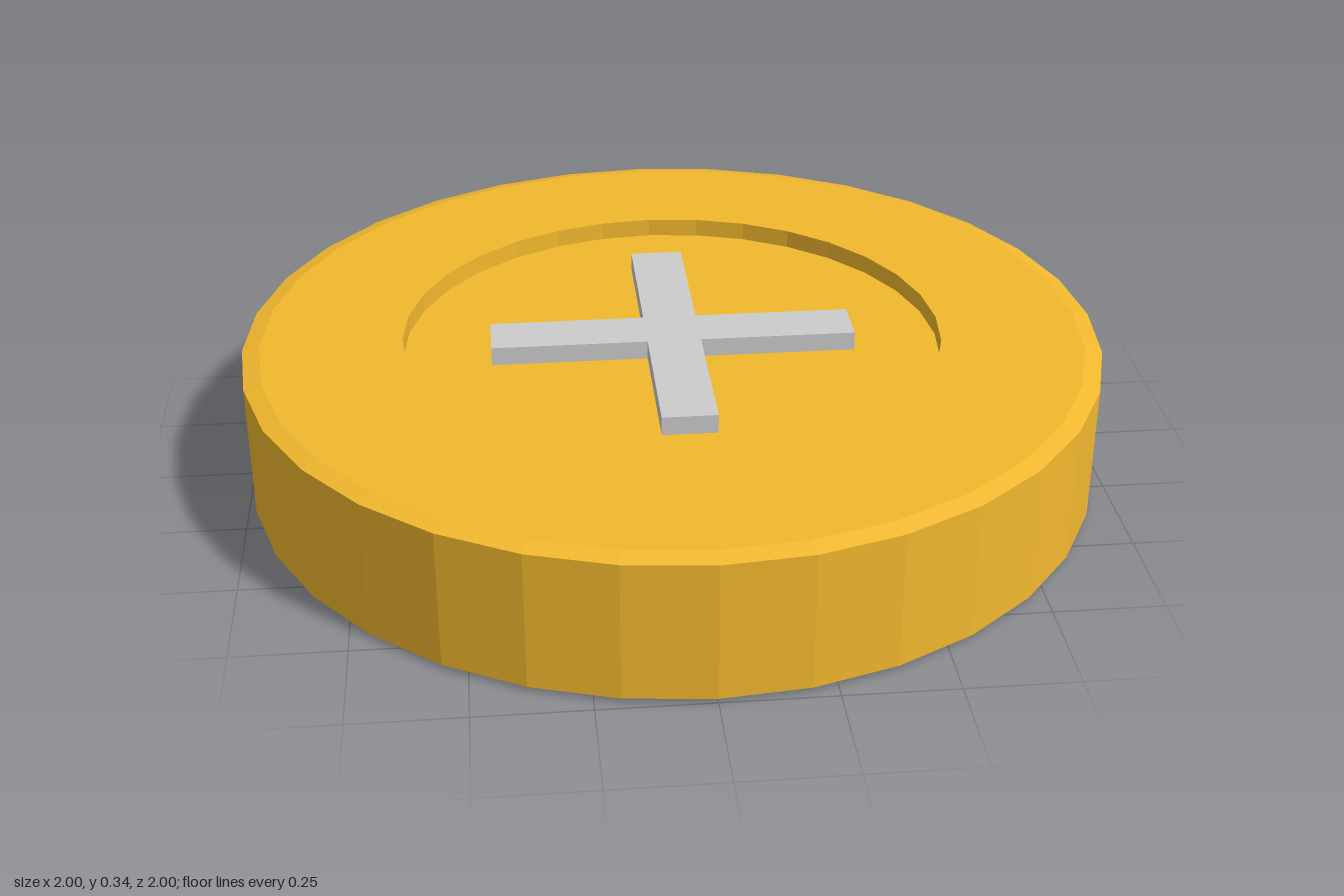
import * as THREE from 'three';

const HEIGHT = 0.34, RECESS = 0.044, BEVEL = 0.01;

export function createModel() {
  const group = new THREE.Group();
  const gold = new THREE.MeshStandardMaterial({ color: 0xf2b82e, flatShading: true });
  const grey = new THREE.MeshStandardMaterial({ color: 0xcccccc, flatShading: true });

  // Disc: bevelled rim with a round recess in both faces
  const lower = [[0, RECESS], [0.63, RECESS], [0.63, 0], [0.96, 0], [1, BEVEL]];
  const upper = lower.map(([r, y]) => [r, HEIGHT - y]).reverse();
  const profile = [...lower, ...upper].map(([r, y]) => new THREE.Vector2(r, y));
  const disc = new THREE.Mesh(new THREE.LatheGeometry(profile, 32), gold);
  disc.name = 'coinDisc';
  group.add(disc);

  // Cross: runs through the disc, flush with the rim on both faces
  const L = 0.425, W = 0.0625;
  const quarter = [[L, -W], [L, W], [W, W]];
  const outline = [];
  for (let i = 0; i < 4; i++) {
    for (const [x, y] of quarter) {
      outline.push(new THREE.Vector2(x, y).rotateAround(new THREE.Vector2(), i * Math.PI / 2));
    }
  }
  const crossGeometry = new THREE.ExtrudeGeometry(new THREE.Shape(outline), { depth: HEIGHT, bevelEnabled: false });
  crossGeometry.rotateX(-Math.PI / 2);
  const cross = new THREE.Mesh(crossGeometry, grey);
  cross.name = 'cross';
  group.add(cross);

  return group;
}
